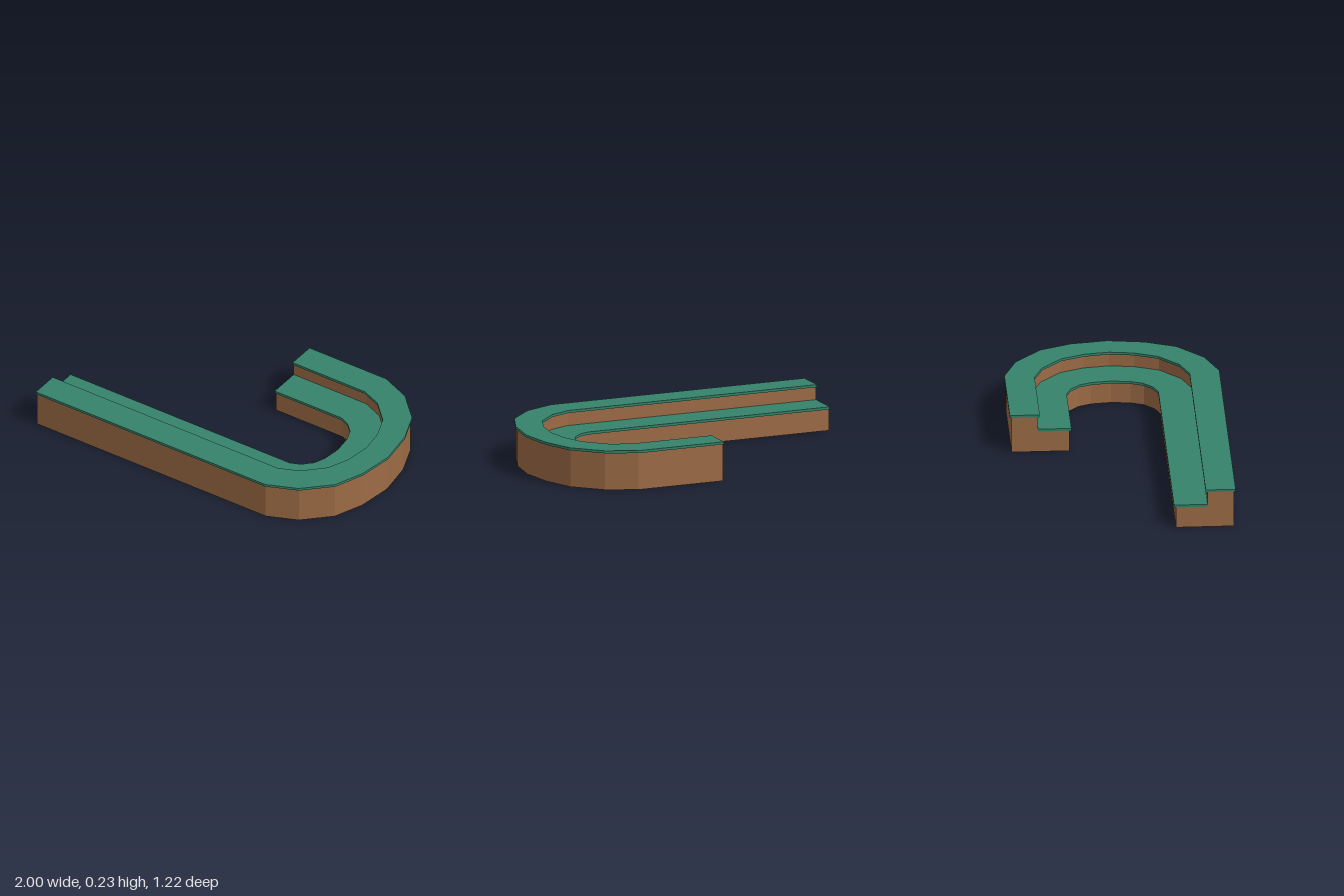
import * as THREE from 'three';

// Half of the bend from the straight leg to its tip, as [x, z], for each rail
const RAILS = [
  [[0.5, 0.26], [0.56, 0.235], [0.615, 0.18], [0.642, 0.11], [0.655, 0]],  // inner edge
  [[0.54, 0.44], [0.66, 0.39], [0.775, 0.275], [0.828, 0.14], [0.847, 0]], // step
  [[0.57, 0.61], [0.75, 0.535], [0.9, 0.387], [0.97, 0.21], [1, 0]],       // outer edge
].map((half) => {
  const back = half.slice(0, -1).reverse().map(([x, z]) => [x, -z]);
  const z = half[0][1];
  return [[-1, z], ...half, ...back, [0.045, -z]];
});

// Point at station i; s runs 0 (inner edge), 1 (step), 2 (outer edge)
function railPoint(i, s, y) {
  const k = s < 1 ? 0 : 1;
  const [a, b] = [RAILS[k][i], RAILS[k + 1][i]];
  const t = s - k;
  return [a[0] + (b[0] - a[0]) * t, y, a[1] + (b[1] - a[1]) * t];
}

// Sweep a counter-clockwise cross-section of [s, y] corners along the rails
function sweep(name, section, material) {
  const pos = [];
  const tri = (...pts) => pts.forEach((p) => pos.push(...p));
  const last = RAILS[0].length - 1;
  const n = section.length;
  for (let i = 0; i < last; i++) {
    for (let j = 0; j < n; j++) {
      const a = section[j], b = section[(j + 1) % n];
      const a0 = railPoint(i, ...a), a1 = railPoint(i + 1, ...a);
      const b0 = railPoint(i, ...b), b1 = railPoint(i + 1, ...b);
      tri(a0, a1, b1);
      tri(a0, b1, b0);
    }
  }
  // End caps
  const outline = section.map(([s, y]) => new THREE.Vector2(s, y));
  for (const [a, b, c] of THREE.ShapeUtils.triangulateShape(outline, [])) {
    tri(...[a, b, c].map((k) => railPoint(0, ...section[k])));
    tri(...[c, b, a].map((k) => railPoint(last, ...section[k])));
  }
  const geo = new THREE.BufferGeometry();
  geo.setAttribute('position', new THREE.Float32BufferAttribute(pos, 3));
  geo.computeVertexNormals();
  const mesh = new THREE.Mesh(geo, material);
  mesh.name = name;
  return mesh;
}

export function createModel() {
  const group = new THREE.Group();
  group.name = 'steppedCounter';
  const wood = new THREE.MeshStandardMaterial({ color: 0x9c6b45, flatShading: true });
  const green = new THREE.MeshStandardMaterial({ color: 0x35826a, flatShading: true });

  const LOW = 0.125, LOW_TOP = 0.14, HIGH = 0.215, HIGH_TOP = 0.23;
  const LIP = 0.06; // overhang of the tops, in rail units
  const slab = (s0, s1, y0, y1) => [[s0, y0], [s1, y0], [s1, y1], [s0, y1]];

  // Body with a low inner step and a high outer step
  group.add(sweep('body', [
    [LIP, 0], [2 - LIP, 0], [2 - LIP, HIGH], [1 + LIP, HIGH], [1 + LIP, LOW], [LIP, LOW],
  ], wood));
  // Thin tops
  group.add(sweep('lowerTop', slab(0, 1 + LIP, LOW, LOW_TOP), green));
  group.add(sweep('upperTop', slab(1, 2, HIGH, HIGH_TOP), green));
  return group;
}
